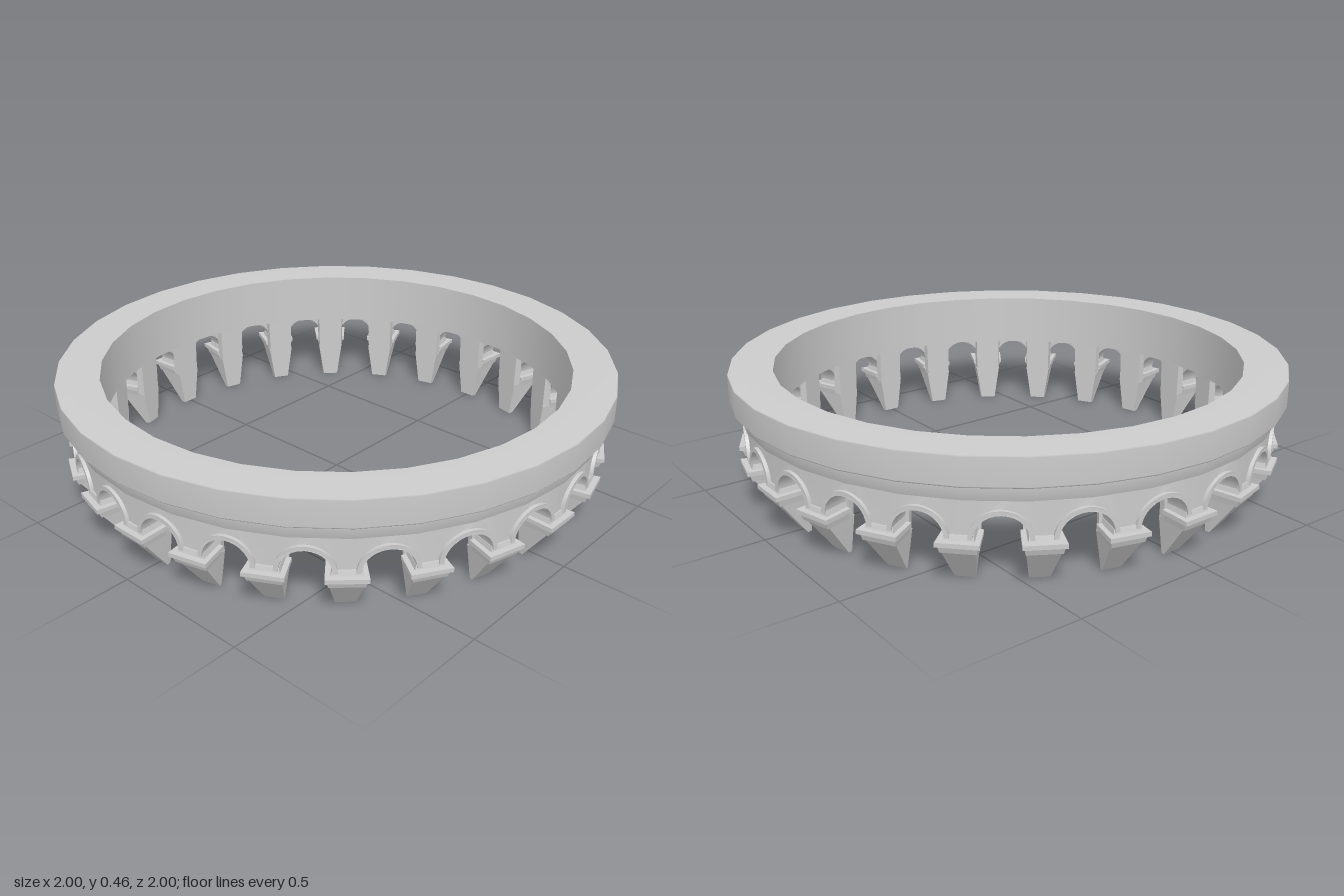
import * as THREE from 'three';
import { toCreasedNormals } from 'three/addons/utils/BufferGeometryUtils.js';

const COUNT = 24;          // corbels around the ring
const INNER = 0.845;       // inner wall radius
const BACK = 0.87;         // back of the arcade
const WALL = 0.95;         // front of the arcade
const CROWN = 0.255, SPRING = 0.175, PIER = 0.042;

const material = new THREE.MeshStandardMaterial({ color: 0xcccccc, side: THREE.DoubleSide });

// corbels stand slightly closer together at the sides than at front and back
function corbelAngle(i) {
  const a = (i / COUNT) * Math.PI * 2;
  return a + 0.018 * Math.sin(2 * a);
}

// points of the arch opening, left to right, offset outwards by d
function archPoints(half, d, steps = 14) {
  const pts = [];
  for (let i = 0; i <= steps; i++) {
    const a = Math.PI * (1 - i / steps);
    pts.push(new THREE.Vector2(Math.cos(a) * (half + d), SPRING + Math.sin(a) * (CROWN - SPRING + d)));
  }
  return pts;
}

// extrude a flat shape and wrap it round the ring: x runs along the arc, depth along the radius
function wrappedExtrude(points, r0, r1) {
  const geo = new THREE.ExtrudeGeometry(new THREE.Shape(points), { depth: r1 - r0, bevelEnabled: false });
  const p = geo.attributes.position;
  for (let i = 0; i < p.count; i++) {
    const a = p.getX(i) / WALL, r = r0 + p.getZ(i);
    p.setXYZ(i, Math.sin(a) * r, p.getY(i), Math.cos(a) * r);
  }
  return toCreasedNormals(geo, 0.6);
}

// box whose lower and upper ends have their own half width and radial range
function taperedBlock(y0, y1, low, high) {
  const geo = new THREE.BoxGeometry(1, 1, 1);
  const p = geo.attributes.position;
  for (let i = 0; i < p.count; i++) {
    const end = p.getY(i) > 0 ? high : low;
    const outer = p.getZ(i) > 0;
    const w = end.half * (outer ? 1 : 0.9);
    p.setXYZ(i, Math.sign(p.getX(i)) * w, p.getY(i) > 0 ? y1 : y0, outer ? end.out : end.in);
  }
  geo.computeVertexNormals();
  return geo;
}

function addMesh(parent, name, geo) {
  const mesh = new THREE.Mesh(geo, material);
  mesh.name = name;
  parent.add(mesh);
}

function addLathe(parent, name, profile) {
  addMesh(parent, name, new THREE.LatheGeometry(profile.map(([r, y]) => new THREE.Vector2(r, y)), 32));
}

// one arch with half a pier at each end
function makeBay(width) {
  const bay = new THREE.Group();
  bay.name = 'archBay';
  const h = width / 2, open = h - PIER;
  const v = (x, y) => new THREE.Vector2(x, y);
  const top = [];
  for (let i = 0; i <= 6; i++) top.push(v(h - (width * i) / 6, 0.302));
  addMesh(bay, 'archWall', wrappedExtrude(
    [v(-h, 0.135), v(-open, 0.135), ...archPoints(open, 0), v(open, 0.135), v(h, 0.135), ...top], BACK, WALL));
  // raised moulding around the opening
  addMesh(bay, 'archMoulding', wrappedExtrude(
    [...archPoints(open, 0), ...archPoints(open, 0.015).reverse()], WALL - 0.01, WALL + 0.012));
  return bay;
}

// pointed bracket with two capital mouldings and a flat leg up the inner wall
function makeCorbel() {
  const corbel = new THREE.Group();
  corbel.name = 'corbel';
  addMesh(corbel, 'bracket', taperedBlock(0, 0.135,
    { half: 0.033, in: INNER, out: 0.86 }, { half: 0.055, in: INNER, out: 0.96 }));
  addMesh(corbel, 'innerLeg', taperedBlock(0.135, 0.27,
    { half: 0.052, in: INNER, out: BACK }, { half: 0.055, in: INNER, out: BACK }));
  addMesh(corbel, 'lowerMoulding', taperedBlock(0.128, 0.15,
    { half: 0.056, in: BACK, out: 0.962 }, { half: 0.061, in: BACK, out: 0.97 }));
  addMesh(corbel, 'abacus', taperedBlock(0.153, 0.168,
    { half: 0.068, in: BACK, out: 0.98 }, { half: 0.068, in: BACK, out: 0.98 }));
  addMesh(corbel, 'neck', taperedBlock(0.145, 0.185,
    { half: 0.055, in: BACK, out: 0.966 }, { half: 0.045, in: BACK, out: 0.955 }));
  return corbel;
}

export function createModel() {
  const model = new THREE.Group();
  model.name = 'arcadedParapetRing';

  // plain inner wall, its lower edge, and the parapet with stepped underside
  addLathe(model, 'innerWall', [[INNER, 0.455], [INNER, 0.262]]);
  addLathe(model, 'innerWallEdge', [[INNER, 0.262], [BACK + 0.005, 0.262]]);
  addLathe(model, 'parapetRing', [
    [BACK, 0.3], [0.955, 0.3], [0.968, 0.303], [0.97, 0.345], [0.972, 0.352], [0.995, 0.354],
    [1, 0.36], [1, 0.45], [0.998, 0.455], [INNER, 0.455],
  ]);

  // arcade
  for (let i = 0; i < COUNT; i++) {
    const a = corbelAngle(i), b = corbelAngle(i + 1);
    const bay = makeBay((b - a) * WALL);
    bay.rotation.y = (a + b) / 2;
    const corbel = makeCorbel();
    corbel.rotation.y = a;
    model.add(bay, corbel);
  }
  return model;
}
